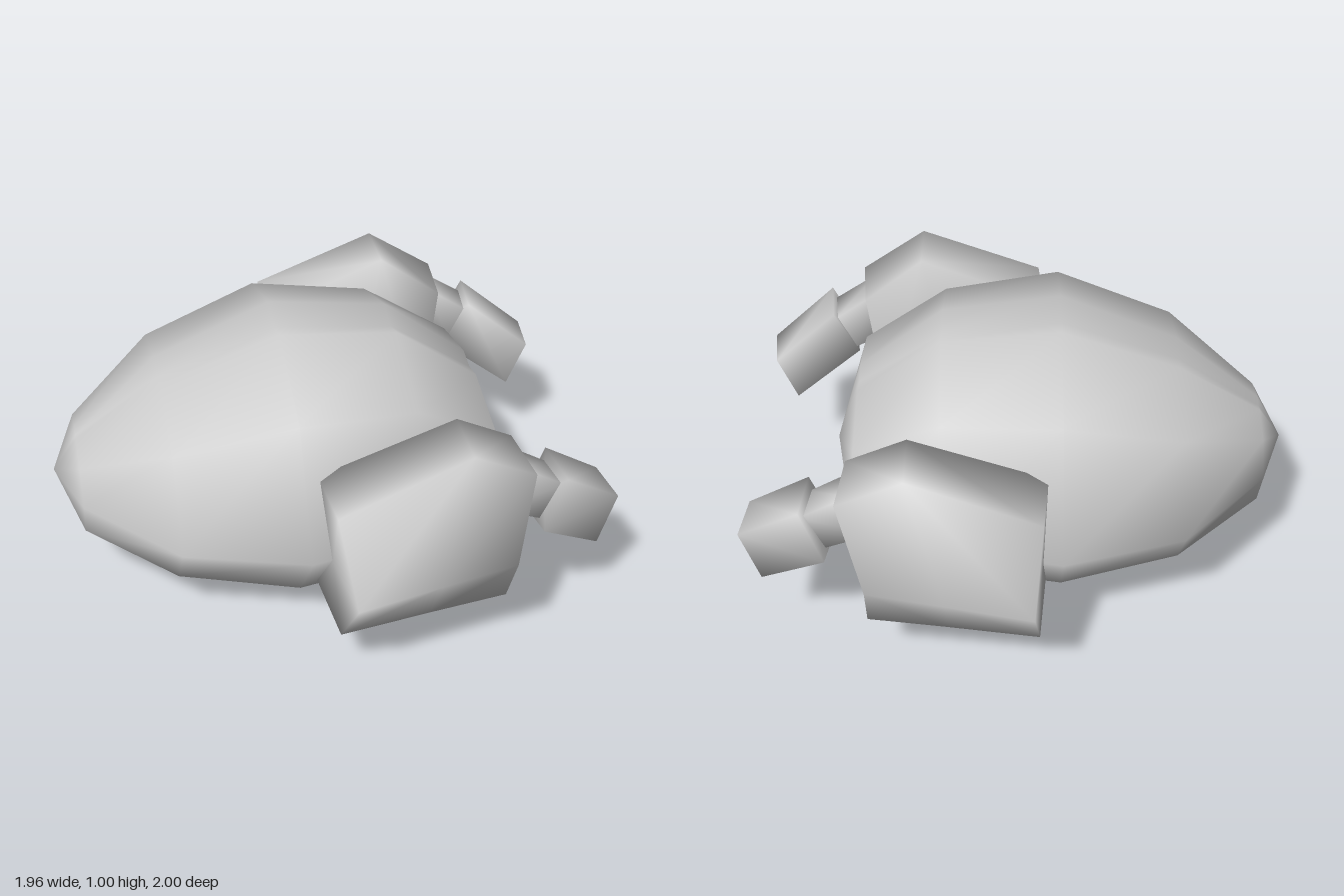
import * as THREE from 'three';

const material = new THREE.MeshStandardMaterial({ color: 0xcccccc });

// Skin a row of closed rings (running along +x) and close both ends with a point.
function loft(name, rings, side = 1, start = centre(rings[0]), end = centre(rings.at(-1))) {
  const n = rings[0].length;
  const points = [...rings.flat(), start, end];
  const index = [];
  const face = (a, b, c) => index.push(...(side > 0 ? [a, b, c] : [a, c, b]));
  const s = rings.length * n, last = s - n;
  for (let i = 0; i < n; i++) {
    const j = (i + 1) % n;
    for (let r = 0; r < last; r += n) {
      face(r + i, r + j, r + n + i);
      face(r + j, r + n + j, r + n + i);
    }
    face(s, j, i);
    face(s + 1, last + i, last + j);
  }
  const geometry = new THREE.BufferGeometry();
  const flat = points.flatMap(([x, y, z]) => [x, y, z * side]);
  geometry.setAttribute('position', new THREE.Float32BufferAttribute(flat, 3));
  geometry.setIndex(index);
  geometry.computeVertexNormals();
  const mesh = new THREE.Mesh(geometry, material);
  mesh.name = name;
  return mesh;
}

function centre(ring) {
  return [0, 1, 2].map(k => ring.reduce((sum, p) => sum + p[k], 0) / ring.length);
}

// Hull cross-section: half outline [z, y] with a shallow groove along the top
const half = [[0, 0.93], [0.16, 1], [0.68, 0.75], [1, 0], [0.67, -0.67], [0.15, -1], [0, -0.98]];
const outline = [...half, ...half.slice(1, -1).reverse().map(([z, y]) => [-z, y])];

function createHull() {
  // x, half width, height above and depth below the middle line
  const stations = [
    [-0.89, 0.26, 0.15, 0.25],
    [-0.58, 0.6, 0.38, 0.37],
    [-0.15, 0.73, 0.55, 0.45],
    [0.28, 0.64, 0.5, 0.42],
    [0.59, 0.53, 0.27, 0.27],
  ];
  const rings = stations.map(([x, w, up, down]) =>
    outline.map(([z, y]) => [x, 0.45 + y * (y > 0 ? up : down), z * w]));
  return loft('hull', rings, 1, [-0.98, 0.45, 0], [0.68, 0.45, 0]);
}

function createSidePod(side) {
  const pod = new THREE.Group();
  pod.name = side > 0 ? 'leftPod' : 'rightPod';
  // Housing: inner top, outer top, outer ridge, outer bottom, inner bottom
  pod.add(loft('podHousing', [
    [[-0.1, 0.69, 0.55], [-0.08, 0.69, 0.8], [-0.05, 0.45, 1], [-0.07, 0.2, 0.82], [-0.1, 0.2, 0.45]],
    [[0.38, 0.87, 0.56], [0.38, 0.87, 0.79], [0.25, 0.47, 0.95], [0.25, 0.23, 0.8], [0.25, 0.23, 0.45]],
    [[0.6, 0.73, 0.5], [0.62, 0.73, 0.74], [0.52, 0.49, 0.91], [0.53, 0.25, 0.78], [0.53, 0.25, 0.45]],
  ], side));
  // Narrow neck
  pod.add(loft('barrelNeck', [
    [[0.56, 0.73, 0.55], [0.57, 0.73, 0.69], [0.5, 0.56, 0.69], [0.49, 0.56, 0.55]],
    [[0.73, 0.62, 0.53], [0.75, 0.62, 0.67], [0.68, 0.48, 0.67], [0.67, 0.48, 0.53]],
  ], side));
  // Block at the end of the barrel
  pod.add(loft('barrelBlock', [
    [[0.73, 0.66, 0.5], [0.75, 0.66, 0.7], [0.67, 0.47, 0.73], [0.64, 0.47, 0.53]],
    [[0.96, 0.49, 0.43], [0.98, 0.49, 0.61], [0.91, 0.31, 0.63], [0.89, 0.31, 0.44]],
  ], side));
  return pod;
}

export function createModel() {
  const model = new THREE.Group();
  model.name = 'podCraft';
  model.add(createHull(), createSidePod(1), createSidePod(-1));
  return model;
}
